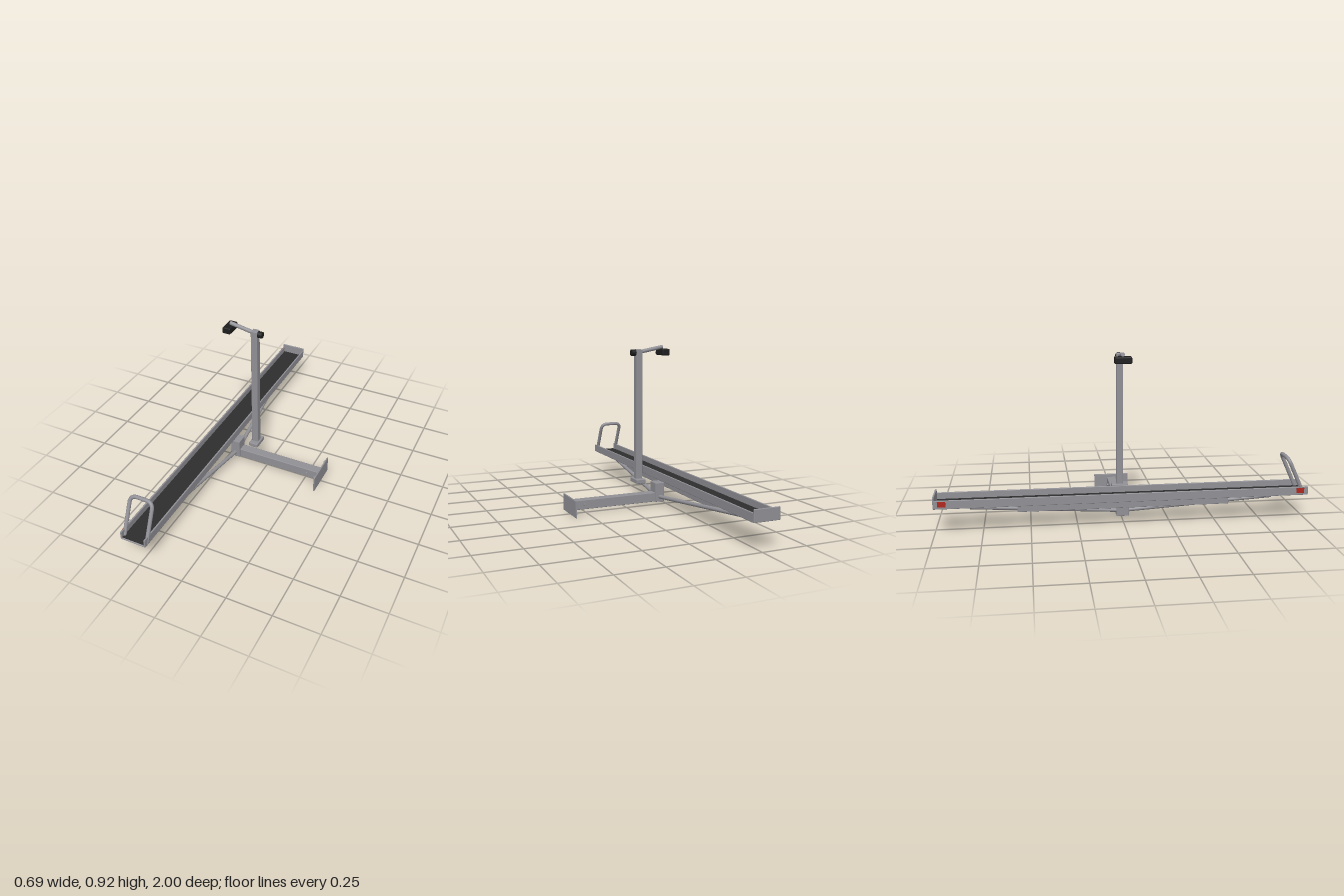
import * as THREE from 'three';
import { RoundedBoxGeometry } from 'three/addons/geometries/RoundedBoxGeometry.js';

const material = (name, color) => {
  const m = new THREE.MeshStandardMaterial({ color });
  m.name = name;
  return m;
};

export function createModel() {
  const steel = material('steel grey', 0x909096);
  const rubber = material('floor rubber', 0x2e2e2e);
  const grip = material('grip black', 0x1e1e1f);
  const red = material('reflector red', 0xb0281e);
  const model = new THREE.Group();
  model.name = 'wheelRack';

  const add = (parent, name, geometry, mat) => {
    const mesh = new THREE.Mesh(geometry, mat);
    mesh.name = name;
    parent.add(mesh);
    return mesh;
  };
  const group = (name) => {
    const g = new THREE.Group();
    g.name = name;
    model.add(g);
    return g;
  };
  // Softly edged box given by its limits on each axis
  const box = (parent, name, [x0, x1], [y0, y1], [z0, z1], mat, radius = 0.003) => {
    const geometry = new RoundedBoxGeometry(x1 - x0, y1 - y0, z1 - z0, 2, radius);
    const mesh = add(parent, name, geometry, mat);
    mesh.position.set((x0 + x1) / 2, (y0 + y1) / 2, (z0 + z1) / 2);
    return mesh;
  };
  // Round bar between two points
  const rod = (parent, name, a, b, radius, mat) => {
    const from = new THREE.Vector3(...a), to = new THREE.Vector3(...b);
    const dir = to.clone().sub(from);
    const mesh = add(parent, name, new THREE.CylinderGeometry(radius, radius, dir.length(), 24), mat);
    mesh.position.copy(from).add(to).multiplyScalar(0.5);
    mesh.quaternion.setFromUnitVectors(new THREE.Vector3(0, 1, 0), dir.normalize());
    return mesh;
  };

  // Wheel tray: open at the front, closed by a taller wall at the back
  const tray = group('wheelTray');
  box(tray, 'trayBottom', [-0.345, -0.198], [0.145, 0.153], [-1, 1], steel);
  box(tray, 'rightWall', [-0.345, -0.336], [0.145, 0.192], [-1, 1], steel);
  box(tray, 'leftWall', [-0.207, -0.198], [0.145, 0.192], [-1, 1], steel);
  box(tray, 'backWall', [-0.345, -0.198], [0.145, 0.21], [-1, -0.991], steel);
  const liner = add(tray, 'floorLiner', new THREE.BoxGeometry(0.129, 0.005, 1.985), rubber);
  liner.position.set(-0.2715, 0.1545, 0.0015);
  for (const z of [-0.955, 0.955]) {
    const reflector = add(tray, 'reflector', new THREE.BoxGeometry(0.005, 0.028, 0.042), red);
    reflector.position.set(-0.3465, 0.172, z);
  }

  // Leaning wheel hoop with rounded upper corners
  const v = (x, y) => new THREE.Vector3(x, y, 0);
  const hoopPath = new THREE.CurvePath();
  const half = 0.066, height = 0.217, bend = 0.04;
  hoopPath.add(new THREE.LineCurve3(v(-half, 0), v(-half, height - bend)));
  hoopPath.add(new THREE.QuadraticBezierCurve3(v(-half, height - bend), v(-half, height), v(bend - half, height)));
  hoopPath.add(new THREE.LineCurve3(v(bend - half, height), v(half - bend, height)));
  hoopPath.add(new THREE.QuadraticBezierCurve3(v(half - bend, height), v(half, height), v(half, height - bend)));
  hoopPath.add(new THREE.LineCurve3(v(half, height - bend), v(half, 0)));
  const hoop = add(model, 'wheelHoop', new THREE.TubeGeometry(hoopPath, 80, 0.0105, 16), steel);
  hoop.position.set(-0.2715, 0.153, 0.975);
  hoop.rotation.x = -0.43;

  // Rail and diagonal braces that carry the tray
  const support = group('traySupport');
  box(support, 'supportRail', [-0.293, -0.25], [0.095, 0.138], [-0.57, 0.57], steel);
  for (const s of [-1, 1]) {
    rod(support, 'brace', [-0.271, 0.126, s * 0.815], [-0.196, 0.05, s * 0.02], 0.011, steel);
  }

  // Horizontal arm with its end plate
  const arm = group('hitchArm');
  box(arm, 'supportBlock', [-0.222, -0.167], [0.023, 0.134], [-0.034, 0.034], steel);
  box(arm, 'armBeam', [-0.2, 0.34], [0.024, 0.077], [-0.026, 0.026], steel);
  box(arm, 'endPlate', [0.337, 0.345], [0, 0.096], [-0.104, 0.104], steel);
  rod(arm, 'lockPin', [0.264, 0.05, -0.035], [0.264, 0.05, 0.035], 0.007, steel);
  for (const z of [-0.075, 0.075]) {
    for (const y of [0.016, 0.08]) {
      rod(arm, 'plateBolt', [0.329, y, z], [0.338, y, z], 0.007, steel);
    }
  }

  // Upright mast on its foot
  const mast = group('mast');
  box(mast, 'mastFoot', [-0.098, -0.043], [0.142, 0.167], [-0.046, 0.046], steel, 0.004);
  box(mast, 'mastPost', [-0.091, -0.053], [0.16, 0.9], [-0.018, 0.018], steel);

  // Clamp arm with knob and padded end
  const clamp = group('frameClamp');
  rod(clamp, 'clampArm', [-0.221, 0.912, 0], [-0.072, 0.884, 0], 0.011, steel);
  rod(clamp, 'clampKnob', [-0.054, 0.882, 0], [-0.028, 0.882, 0], 0.018, grip);
  box(clamp, 'clampPad', [-0.247, -0.2], [0.865, 0.901], [-0.046, 0.046], grip, 0.006);

  return model;
}
